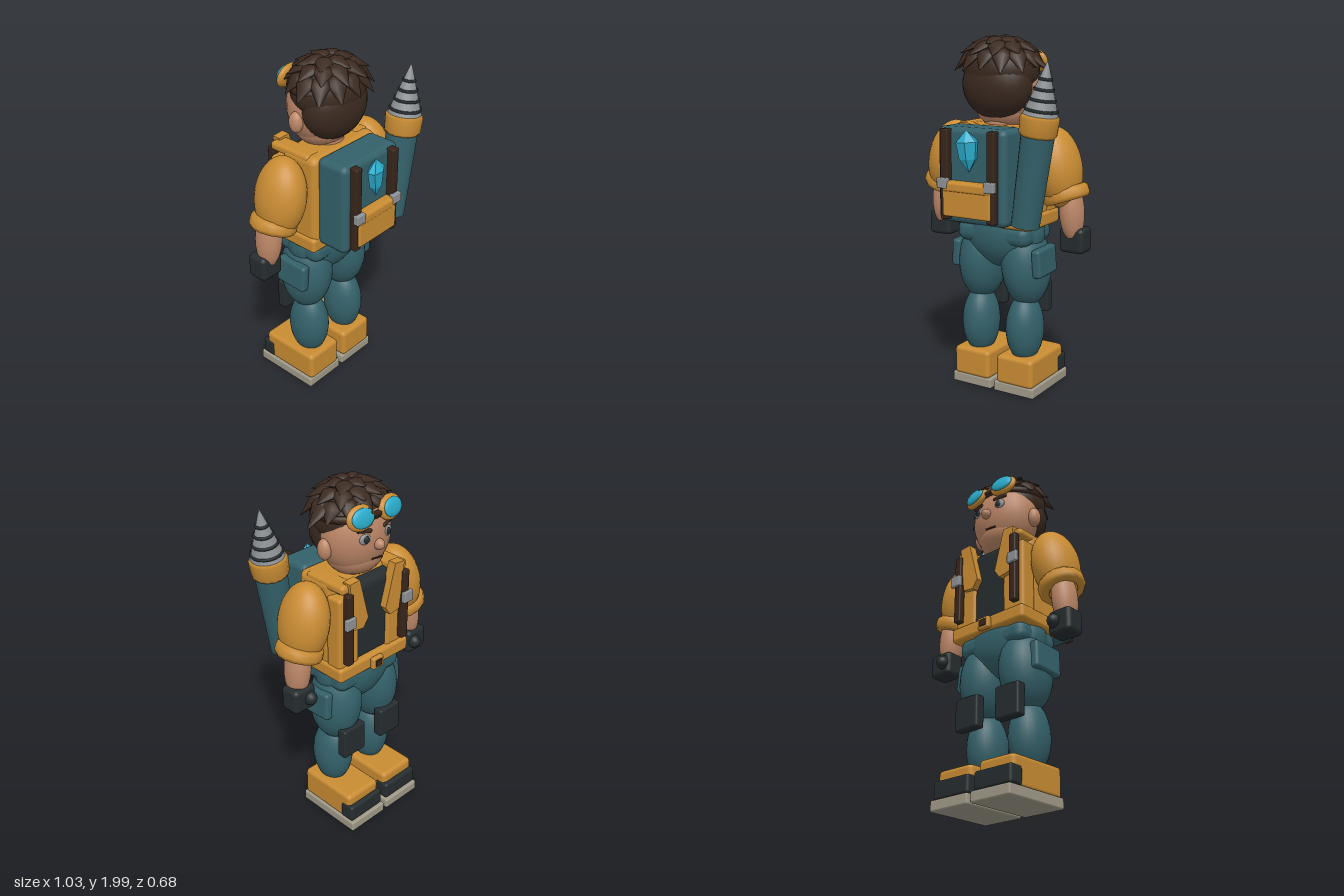
import * as THREE from 'three';
import { RoundedBoxGeometry } from 'three/addons/geometries/RoundedBoxGeometry.js';

const mat = (name, color) => {
  const m = new THREE.MeshStandardMaterial({ color });
  m.name = name;
  return m;
};

export function createModel() {
  const root = new THREE.Group();
  root.name = 'explorer';
  const ochre = mat('ochre', 0xc98c33), teal = mat('teal', 0x34616a), dark = mat('charcoal', 0x262d2f);
  const hairM = mat('hair brown', 0x3b2a20), leather = mat('leather brown', 0x38251a), skin = mat('skin', 0xbd8767);
  const soleM = mat('sole grey', 0xa09a88), steel = mat('steel', 0x8d9296), cyan = mat('cyan', 0x2aaccc);

  // helpers
  const add = (name, geo, m, p = [0, 0, 0], r = [0, 0, 0], parent = root) => {
    const mesh = new THREE.Mesh(geo, m);
    mesh.name = name;
    mesh.position.set(...p);
    mesh.rotation.set(...r);
    parent.add(mesh);
    return mesh;
  };
  const box = (name, m, size, p, rad = 0.015, r, parent) =>
    add(name, new RoundedBoxGeometry(...size, 2, rad), m, p, r, parent);
  const ball = (name, m, radii, p, r, parent) =>
    add(name, new THREE.SphereGeometry(1, 28, 20).scale(...radii), m, p, r, parent);
  const plate = (name, m, pts, depth, p) => add(name, new THREE.ExtrudeGeometry(
    new THREE.Shape(pts.map(([x, y]) => new THREE.Vector2(x, y))), { depth, bevelEnabled: false }), m, p);

  // hips, waistband and belt buckle
  ball('hips', teal, [0.25, 0.21, 0.165], [0, 0.92, -0.06]);
  box('waist', teal, [0.46, 0.12, 0.3], [0, 0.92, -0.06], 0.05);
  box('jacketHem', ochre, [0.52, 0.085, 0.335], [0, 1.005, -0.067], 0.02);
  box('beltBuckle', ochre, [0.08, 0.07, 0.03], [0, 1.0, -0.245], 0.01);
  box('buckleInset', leather, [0.045, 0.04, 0.008], [0, 1.0, -0.261], 0.003);

  // torso
  box('jacketBack', ochre, [0.49, 0.52, 0.24], [0, 1.26, -0.02], 0.04);
  box('shirt', dark, [0.4, 0.48, 0.16], [0, 1.25, -0.12], 0.05);
  add('neck', new THREE.CylinderGeometry(0.085, 0.1, 0.16, 20), skin, [0, 1.51, -0.04]);

  for (const s of [-1, 1]) {
    // shoes
    box('sole', soleM, [0.26, 0.06, 0.41], [s * 0.14, 0.03, -0.135], 0.01);
    box('shoe', ochre, [0.235, 0.17, 0.37], [s * 0.142, 0.135, -0.115], 0.025);
    box('toeCap', dark, [0.245, 0.1, 0.088], [s * 0.142, 0.11, -0.282], 0.015);

    // legs
    ball('shin', teal, [0.105, 0.2, 0.122], [s * 0.147, 0.37, -0.05]);
    ball('thigh', teal, [0.136, 0.235, 0.158], [s * 0.142, 0.735, -0.07], [0, 0, s * 0.06]);
    box('thighPocket', teal, [0.055, 0.16, 0.2], [s * 0.263, 0.775, -0.055], 0.018, [0.04, 0, s * 0.05]);
    box('kneePad', dark, [0.16, 0.18, 0.06], [s * 0.143, 0.53, -0.198], 0.012);

    // jacket front, lapels and harness straps
    box('jacketFront', ochre, [0.145, 0.44, 0.1], [s * 0.177, 1.23, -0.165], 0.018);
    plate('lapel', ochre, [[0.2, 1.535], [0.13, 1.54], [0.065, 1.3], [0.1, 1.25], [0.17, 1.26]]
      .map(([x, y]) => [s * x, y]), 0.05, [0, 0, -0.24]);
    box('shoulderBridge', ochre, [0.1, 0.05, 0.27], [s * 0.19, 1.5, -0.09], 0.02);
    box('harnessStrap', leather, [0.045, 0.41, 0.04], [s * 0.205, 1.275, -0.236], 0.008);
    box('harnessBuckle', steel, [0.068, 0.065, 0.024], [s * 0.213, 1.325, -0.258], 0.006);

    // arm, hung from the shoulder and tilted outward
    ball('sleeve', ochre, [0.125, 0.22, 0.148], [s * 0.345, 1.305, -0.05], [0, 0, s * 0.2]);
    const cuff = [[0.08, -0.035], [0.118, -0.035], [0.13, -0.015], [0.128, 0.02], [0.115, 0.037], [0.08, 0.037]];
    add('cuff', new THREE.LatheGeometry(cuff.map(([x, y]) => new THREE.Vector2(x, y)), 14), ochre,
      [s * 0.39, 1.16, -0.062], [0, 0, s * 0.33]);
    ball('forearm', skin, [0.067, 0.17, 0.077], [s * 0.418, 1.07, -0.075], [0, 0, s * 0.08]);
    box('glove', dark, [0.145, 0.14, 0.12], [s * 0.433, 0.912, -0.095], 0.025);
    ball('thumb', dark, [0.036, 0.04, 0.045], [s * 0.405, 0.915, -0.15]);
  }

  // head
  const head = new THREE.Group();
  head.name = 'head';
  root.add(head);
  ball('skull', skin, [0.205, 0.23, 0.17], [0, 1.72, -0.07], undefined, head);
  ball('jaw', skin, [0.165, 0.12, 0.145], [0, 1.605, -0.07], undefined, head);
  ball('nose', skin, [0.028, 0.03, 0.035], [0, 1.695, -0.24], undefined, head);
  box('mouth', leather, [0.075, 0.01, 0.008], [-0.012, 1.608, -0.219], 0.003, [0, 0, 0.12], head);
  for (const s of [-1, 1]) {
    ball('ear', skin, [0.035, 0.058, 0.04], [s * 0.205, 1.672, -0.063], undefined, head);
    ball('eye', steel, [0.033, 0.028, 0.012], [s * 0.08, 1.738, -0.222], [0, s * -0.2, 0], head);
    ball('pupil', dark, [0.017, 0.02, 0.008], [s * 0.078, 1.738, -0.232], [0, s * -0.2, 0], head);
    box('eyebrow', hairM, [0.085, 0.02, 0.016], [s * 0.082, 1.783, -0.22], 0.006, [0, s * -0.25, s * 0.15], head);

    // goggles pushed up onto the forehead
    const goggle = new THREE.Group();
    goggle.name = 'goggle';
    goggle.position.set(s * 0.103, 1.855, -0.212);
    goggle.rotation.set(0.25, s * -0.12, 0);
    head.add(goggle);
    ball('goggleFrame', ochre, [0.085, 0.066, 0.03], [0, 0, 0], undefined, goggle);
    ball('goggleLens', cyan, [0.068, 0.05, 0.018], [0, 0, -0.022], undefined, goggle);
  }
  box('goggleBridge', leather, [0.07, 0.024, 0.03], [0, 1.85, -0.218], 0.008, undefined, head);
  add('goggleStrap', new THREE.TorusGeometry(1, 0.07, 8, 40).rotateX(Math.PI / 2).scale(0.205, 0.3, 0.17),
    leather, [0, 1.84, -0.045], undefined, head);

  // hair: back mass, cap, and rows of flattened locks
  ball('backHair', hairM, [0.205, 0.19, 0.145], [0, 1.735, 0.01], undefined, head);
  const c = new THREE.Vector3(0, 1.81, -0.03), R = new THREE.Vector3(0.215, 0.165, 0.182);
  ball('hairCap', hairM, R.toArray(), c.toArray(), undefined, head);
  const lock = (az, el, len, lift, width = 0.05) => {
    const dir = new THREE.Vector3(Math.sin(az) * Math.cos(el), Math.sin(el), Math.cos(az) * Math.cos(el));
    const n = dir.clone().divide(R).normalize();
    const side = new THREE.Vector3(Math.cos(az), 0, -Math.sin(az));
    const y = new THREE.Vector3().crossVectors(side, n).multiplyScalar(-1);
    if (y.y > 0) y.negate();
    y.addScaledVector(n, lift).normalize();
    const x = new THREE.Vector3().crossVectors(y, n).normalize();
    const z = new THREE.Vector3().crossVectors(x, y);
    const m = add('hairLock', new THREE.SphereGeometry(1, 10, 8), hairM, [0, 0, 0], undefined, head);
    // taper the ball to a pointed leaf
    const p = m.geometry.attributes.position;
    for (let i = 0; i < p.count; i++) {
      const t = p.getY(i), k = t > 0 ? (1 - t) / Math.sqrt(Math.max(1 - t * t, 1e-4)) : 1;
      p.setXYZ(i, p.getX(i) * width * k, t * len * (t > 0 ? 0.65 : 0.35), p.getZ(i) * 0.024 * k);
    }
    m.geometry.computeVertexNormals();
    m.quaternion.setFromRotationMatrix(new THREE.Matrix4().makeBasis(x, y, z));
    m.position.copy(dir.multiply(R).add(c));
  };
  const rows = [[6, 1.2, 0.14, 0.15], [10, 0.85, 0.15, 0.22], [13, 0.45, 0.15, 0.18]];
  rows.forEach(([count, el, len, lift], r) => {
    for (let i = 0; i < count; i++) {
      const az = ((i + r * 0.5) / count) * Math.PI * 2, front = Math.cos(az) < -0.6;
      lock(az, el + (front ? 0.12 : 0), front ? len * 0.85 : len + 0.02 * Math.sin(i * 5 + r), lift + (front ? 0.1 : 0));
    }
  });
  lock(1.62, 0.4, 0.2, 0.5);
  lock(2.9, 0.75, 0.17, 0.35);
  lock(-2.75, 0.75, 0.16, 0.35);

  // backpack
  const pack = new THREE.Group();
  pack.name = 'backpack';
  root.add(pack);
  box('packBody', teal, [0.43, 0.515, 0.195], [0, 1.265, 0.177], 0.035, undefined, pack);
  box('packPocket', ochre, [0.3, 0.19, 0.07], [0, 1.145, 0.29], 0.012, undefined, pack);
  box('pocketFlap', ochre, [0.29, 0.05, 0.075], [0, 1.21, 0.292], 0.012, undefined, pack);
  for (const s of [-1, 1]) {
    box('packStrap', leather, [0.048, 0.485, 0.05], [s * 0.146, 1.272, 0.288], 0.008, undefined, pack);
    box('packBuckle', steel, [0.064, 0.056, 0.035], [s * 0.146, 1.228, 0.318], 0.007, undefined, pack);
  }

  // faceted crystal
  const gem = new THREE.LatheGeometry([[0, -0.115], [0.05, -0.045], [0.064, 0.045], [0, 0.108]]
    .map(([x, y]) => new THREE.Vector2(x, y)), 6).toNonIndexed();
  gem.scale(1, 1, 0.65);
  gem.computeVertexNormals();
  add('crystal', gem, cyan, [0, 1.408, 0.3], [0, 0.25, 0.06], pack);

  // drill in its side tube, leaning outward
  const drill = new THREE.Group();
  drill.name = 'drill';
  drill.position.set(0.283, 1.02, 0.187);
  drill.rotation.z = -0.145;
  root.add(drill);
  add('drillTube', new THREE.CylinderGeometry(0.088, 0.076, 0.5, 16), teal, [0, 0.25, 0], undefined, drill);
  const collar = [[0, -0.055], [0.088, -0.055], [0.1, -0.04], [0.104, 0.04], [0.095, 0.055], [0, 0.055]];
  add('drillCollar', new THREE.LatheGeometry(collar.map(([x, y]) => new THREE.Vector2(x, y)), 14), ochre,
    [0, 0.533, 0], undefined, drill);
  add('drillBit', new THREE.ConeGeometry(0.093, 0.285, 18), steel, [0, 0.725, 0], undefined, drill);
  for (let i = 0; i < 4; i++) {
    const y = 0.615 + i * 0.052;
    add('drillGroove', new THREE.TorusGeometry(0.093 * (0.868 - y) / 0.285, 0.008, 6, 18), dark,
      [0, y, 0], [Math.PI / 2, 0, 0], drill);
  }
  return root;
}
